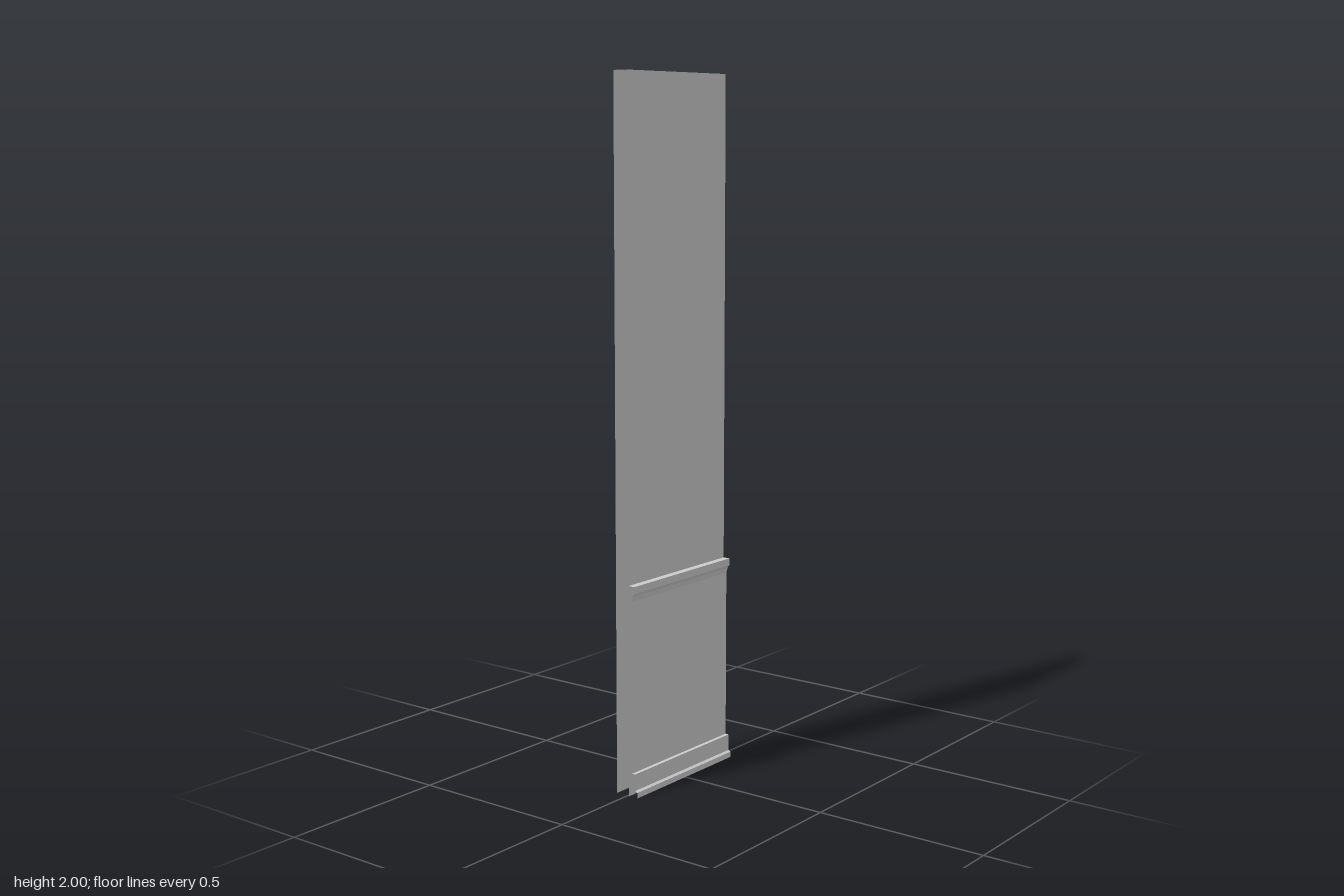
import * as THREE from 'three';

const X0 = -0.222, X1 = 0.222;
const material = new THREE.MeshStandardMaterial({
  color: 0xcccccc, flatShading: true, side: THREE.DoubleSide,
});

// Sweeps an open [z, y] profile, listed from top to bottom, along x into a thin sheet
function sheet(name, profile) {
  const pos = [];
  for (let i = 0; i < profile.length - 1; i++) {
    const [za, ya] = profile[i];
    const [zb, yb] = profile[i + 1];
    pos.push(X0, ya, za, X0, yb, zb, X1, yb, zb);
    pos.push(X0, ya, za, X1, yb, zb, X1, ya, za);
  }
  const geometry = new THREE.BufferGeometry();
  geometry.setAttribute('position', new THREE.Float32BufferAttribute(pos, 3));
  geometry.computeVertexNormals();
  const mesh = new THREE.Mesh(geometry, material);
  mesh.name = name;
  return mesh;
}

export function createModel() {
  const group = new THREE.Group();
  group.name = 'panelledWall';

  const back = -0.037, wall = 0.007, panel = 0.017, rail = 0.028, foot = 0.036;

  // Hollow wall: back, top and front, open at the ends and underneath
  group.add(sheet('wall', [[back, 0], [back, 2], [wall, 2], [wall, 0]]));

  // Chair rail: flat top, upright face, sloping underside
  group.add(sheet('chairRail', [
    [wall, 0.605], [rail, 0.605], [rail, 0.585], [0.021, 0.575], [panel, 0.56],
  ]));

  // Flat wainscot panel
  group.add(sheet('wainscotPanel', [[panel, 0.56], [panel, 0.068]]));

  // Skirting board with a projecting foot moulding
  group.add(sheet('skirtingBoard', [
    [panel, 0.068], [rail, 0.068], [rail, 0.02], [foot, 0.016], [foot, 0],
  ]));

  return group;
}
